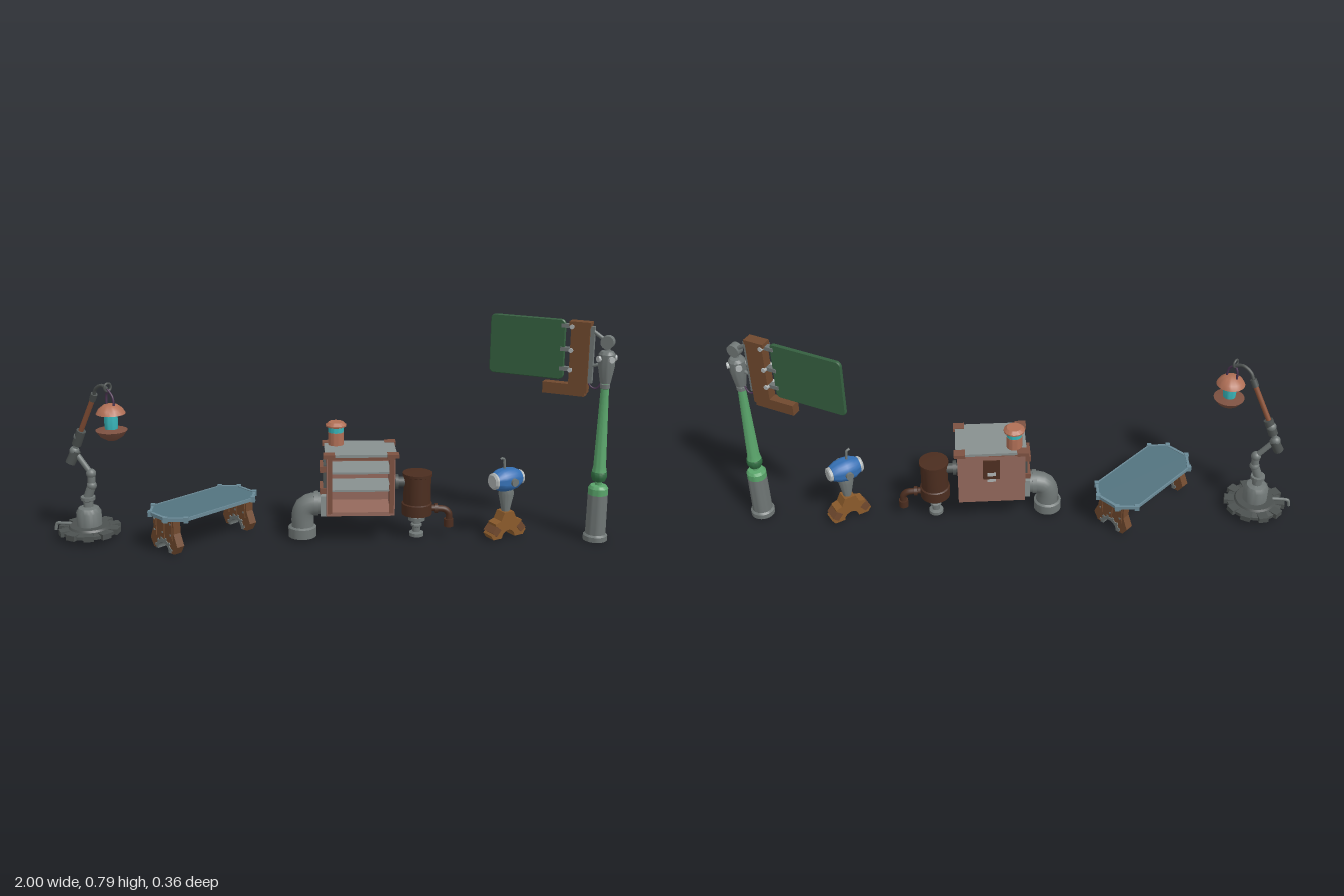
import * as THREE from 'three';
import { toCreasedNormals } from 'three/addons/utils/BufferGeometryUtils.js';

const C = {
  grey: 0x6f7675, dark: 0x4c5150, wood: 0x70492e, orange: 0x8a5a2b, arm: 0x8a5238, copper: 0xb06f56, rust: 0x7d5141,
  pink: 0x94695c, plate: 0x88908f, cyan: 0x38b4b8, teal: 0x53737f, rim: 0x6a8a97, barrel: 0x4b2d1f,
  blue: 0x3570b4, pole: 0x5aa56b, bulb: 0x2f6b40, board: 0x356040, cord: 0x4a3350, light: 0xb0b5b5,
};
const mats = {};
const mat = (c) => (mats[c] ??= new THREE.MeshStandardMaterial({ color: c, side: THREE.DoubleSide }));
const V = (p) => new THREE.Vector3(...p);

function add(parent, name, geo, color, x = 0, y = 0, z = 0) {
  const m = new THREE.Mesh(geo, mat(color));
  m.name = name;
  m.position.set(x, y, z);
  parent.add(m);
  return m;
}
function group(parent, name, x = 0, z = 0, turn = 0) {
  const g = new THREE.Group();
  g.name = name;
  g.position.set(x, 0, z);
  g.rotation.y = turn;
  parent.add(g);
  return g;
}
const box = (g, n, c, w, h, d, x, y, z) => add(g, n, new THREE.BoxGeometry(w, h, d), c, x, y, z);
// Turned part: list of [radius, height], bottom to top
const turned = (g, n, c, pts, x = 0, z = 0) => add(g, n,
  toCreasedNormals(new THREE.LatheGeometry(pts.map((p) => new THREE.Vector2(...p)), 28), 0.6), c, x, 0, z);
// Straight round bar between two points
function rod(g, n, c, a, b, r0, r1 = r0) {
  const p = V(a), q = V(b), d = q.clone().sub(p);
  const m = add(g, n, new THREE.CylinderGeometry(r1, r0, d.length(), 20), c);
  m.position.copy(p.add(q).multiplyScalar(0.5));
  m.quaternion.setFromUnitVectors(new THREE.Vector3(0, 1, 0), d.normalize());
  return m;
}
const tube = (g, n, c, pts, r) => add(g, n,
  new THREE.TubeGeometry(new THREE.CatmullRomCurve3(pts.map(V)), 32, r, 12), c);
function extrude(shape, depth, bevel = 0) {
  return new THREE.ExtrudeGeometry(shape, { depth, curveSegments: 12, bevelEnabled: bevel > 0,
    bevelSize: bevel, bevelThickness: bevel, bevelSegments: 1, bevelOffset: -bevel }).translate(0, 0, -depth / 2);
}
// Symmetric plate with splayed feet and a round arch between them
function footPlate(half, r) {
  const s = new THREE.Shape();
  half.forEach(([x, y], i) => (i ? s.lineTo(x, y) : s.moveTo(x, y)));
  const y0 = half.at(-1)[1];
  s.lineTo(r, y0);
  s.absarc(0, y0, r, 0, Math.PI, false);
  [...half].reverse().forEach(([x, y]) => s.lineTo(-x, y));
  return s;
}

// Lantern on a jointed arm
function lamp(root) {
  const g = group(root, 'lamp');
  const bx = -0.865, bz = -0.04;
  turned(g, 'lampBase', C.dark, [[0, 0.02], [0.1, 0.02], [0.1, 0.032], [0.075, 0.038], [0.07, 0.045], [0, 0.047]], bx, bz);
  for (let i = 0; i < 10; i++) {
    const a = i * Math.PI / 5 + 0.2;
    const t = box(g, 'baseTab', C.dark, 0.035, 0.02, 0.036, bx + 0.093 * Math.cos(a), 0.028, bz + 0.093 * Math.sin(a));
    t.rotation.y = -a;
  }
  tube(g, 'crank', C.grey, [[-0.93, 0.045, -0.05], [-0.965, 0.045, -0.055], [-0.985, 0.043, -0.06], [-0.99, 0.03, -0.06], [-0.992, 0.018, -0.06]], 0.006);
  turned(g, 'pedestal', C.grey, [[0.045, 0.04], [0.045, 0.095], [0.036, 0.11], [0.018, 0.115], [0.018, 0.135], [0.026, 0.14], [0.026, 0.152], [0, 0.155]], bx, bz);
  // Jointed arm
  const path = [[-0.865, 0.15, -0.04], [-0.848, 0.195, -0.035], [-0.848, 0.24, -0.035], [-0.905, 0.32, -0.05], [-0.885, 0.375, -0.04], [-0.815, 0.535, 0.012]];
  [0.016, 0.014, 0.01, 0.01, 0.009].forEach((r, i) => rod(g, 'armSegment', i < 4 ? C.grey : C.arm, path[i], path[i + 1], r));
  path.slice(1, 5).forEach((p) => add(g, 'armJoint', new THREE.SphereGeometry(0.018, 16, 12), C.grey, ...p));
  rod(g, 'counterweight', C.dark, [-0.922, 0.275, -0.05], [-0.9, 0.32, -0.05], 0.018);
  rod(g, 'armSleeve', C.dark, [-0.895, 0.345, -0.045], [-0.873, 0.4, -0.032], 0.017);
  rod(g, 'armTip', C.dark, [-0.822, 0.52, 0.005], [-0.812, 0.545, 0.015], 0.012);
  // Hanging cord and ring
  tube(g, 'hook', C.dark, [[-0.815, 0.535, 0.012], [-0.805, 0.565, 0.025], [-0.78, 0.582, 0.045], [-0.757, 0.572, 0.063]], 0.006);
  add(g, 'ring', new THREE.TorusGeometry(0.014, 0.004, 10, 20), C.dark, -0.757, 0.58, 0.065).rotation.y = 0.8;
  for (const s of [-1, 1])
    tube(g, 'cord', C.cord, [[-0.757, 0.572, 0.065], [-0.752 + s * 0.012, 0.55, 0.068 + s * 0.012], [-0.75 + s * 0.015, 0.515, 0.07 + s * 0.015]], 0.004);
  // Lantern
  turned(g, 'lanternBowl', C.rust, [[0, 0.394], [0.018, 0.396], [0.04, 0.41], [0.055, 0.431], [0.022, 0.436]], -0.75, 0.07);
  turned(g, 'lanternGlass', C.cyan, [[0.022, 0.434], [0.024, 0.46], [0.022, 0.49]], -0.75, 0.07);
  turned(g, 'lanternHood', C.copper, [[0.022, 0.486], [0.051, 0.49], [0.042, 0.506], [0.024, 0.52], [0, 0.524]], -0.75, 0.07);
}

// Long table with clipped corners
function table(root) {
  const g = group(root, 'table', -0.449, 0, 0.75);
  const L = 0.205, W = 0.097, c = 0.05;
  const outline = (k) => new THREE.Shape([[-L + c, -W], [L - c, -W], [L, -W + c], [L, W - c], [L - c, W], [-L + c, W], [-L, W - c], [-L, -W + c]]
    .map(([x, y]) => new THREE.Vector2(x * k, y * k)));
  const rim = outline(1);
  rim.holes.push(outline(0.95));
  add(g, 'tableRim', extrude(rim, 0.012), C.rim, 0, 0.137, 0).rotation.x = -Math.PI / 2;
  add(g, 'tableTop', extrude(outline(0.96), 0.007), C.teal, 0, 0.137, 0).rotation.x = -Math.PI / 2;
  for (const sx of [-1, 1]) {
    for (const sz of [-1, 1]) {
      for (const [x, z] of [[L, W - c], [L - c, W]])
        box(g, 'cornerClamp', C.rim, 0.016, 0.02, 0.016, sx * (x - 0.003), 0.137, sz * (z - 0.003)).rotation.y = 0.78;
    }
    const leg = group(g, 'tableLeg', sx * 0.165, 0, sx * Math.PI / 2);
    add(leg, 'legPlate', extrude(footPlate([[0.058, 0.131], [0.058, 0.08], [0.077, 0.036], [0.058, 0.006]], 0.036), 0.03), C.wood);
    // Half gear under the arch
    const arch = new THREE.Shape();
    arch.absarc(0, 0, 0.042, 0, Math.PI, false);
    arch.absarc(0, 0, 0.03, Math.PI, 0, true);
    add(leg, 'archGear', extrude(arch, 0.036), C.grey, 0, 0.007, 0);
    for (let i = 0; i < 6; i++) {
      const a = (i + 0.5) * Math.PI / 6;
      box(leg, 'gearTooth', C.grey, 0.01, 0.009, 0.036, 0.044 * Math.cos(a), 0.007 + 0.044 * Math.sin(a), 0).rotation.z = a;
    }
    for (const x of [-0.045, 0, 0.045]) {
      box(leg, 'legStrip', C.wood, 0.014, 0.075, 0.038, x, 0.092, 0);
      for (const y of [0.075, 0.115]) box(leg, 'legBolt', C.grey, 0.006, 0.006, 0.043, x, y, 0);
    }
  }
}

// Open stove with shelves, chimney, elbow pipe and boiler
function stove(root) {
  const g = group(root, 'stove');
  const cx = 0.11;
  box(g, 'backWall', C.pink, 0.24, 0.218, 0.012, cx, 0.221, -0.068);
  box(g, 'floor', C.pink, 0.24, 0.014, 0.148, cx, 0.115, 0);
  for (const s of [-1, 1]) box(g, 'sideWall', C.pink, 0.014, 0.218, 0.148, cx + s * 0.113, 0.221, 0);
  box(g, 'lintel', C.rust, 0.24, 0.016, 0.148, cx, 0.322, 0);
  for (const y of [0.2, 0.265]) box(g, 'shelf', C.plate, 0.214, 0.007, 0.132, cx, y, 0.003);
  for (const s of [-1, 1]) box(g, 'frontPost', C.rust, 0.016, 0.21, 0.012, cx + s * 0.108, 0.222, 0.071);
  box(g, 'topPlate', C.plate, 0.25, 0.01, 0.176, cx, 0.333, 0);
  for (const sx of [-1, 1]) for (const sz of [-1, 1])
    box(g, 'cornerBracket', C.rust, 0.04, 0.014, 0.034, cx + sx * 0.111, 0.333, sz * 0.078);
  // Chimney
  turned(g, 'chimney', C.copper, [[0.028, 0.335], [0.028, 0.384], [0, 0.385]], 0.027, -0.047);
  turned(g, 'chimneyGlass', C.cyan, [[0.027, 0.384], [0.027, 0.406]], 0.027, -0.047);
  turned(g, 'chimneyCap', C.copper, [[0.027, 0.402], [0.037, 0.406], [0.037, 0.411], [0.026, 0.421], [0, 0.421]], 0.027, -0.047);
  // Hatches on the left and back walls
  box(g, 'sideHatch', C.dark, 0.012, 0.1, 0.07, -0.014, 0.235, 0);
  for (const y of [0.19, 0.27]) box(g, 'hatchBand', C.rust, 0.024, 0.022, 0.08, -0.02, y, 0);
  box(g, 'backHatch', C.barrel, 0.06, 0.075, 0.012, cx, 0.26, -0.078).rotation.x = 0.12;
  box(g, 'backLatch', C.light, 0.03, 0.04, 0.012, cx, 0.23, -0.081);
  // Elbow pipe
  const bend = new THREE.CatmullRomCurve3([[-0.095, 0.04, 0], [-0.095, 0.09, 0], [-0.085, 0.118, 0], [-0.06, 0.13, 0], [-0.01, 0.132, 0]].map(V));
  add(g, 'elbowPipe', new THREE.TubeGeometry(bend, 10, 0.04, 24), C.grey);
  turned(g, 'pipeFoot', C.grey, [[0, 0.01], [0.05, 0.01], [0.05, 0.045], [0.042, 0.05]], -0.097, 0);
  rod(g, 'pipeFlange', C.grey, [-0.055, 0.132, 0], [-0.04, 0.132, 0], 0.044);
  box(g, 'pipeMount', C.plate, 0.03, 0.075, 0.09, -0.014, 0.135, 0);
  // Boiler
  turned(g, 'boiler', C.barrel, [[0, 0.088], [0.054, 0.09], [0.054, 0.13], [0.049, 0.133], [0.049, 0.232], [0.053, 0.234], [0.053, 0.244], [0, 0.247]], 0.315, 0);
  rod(g, 'boilerLink', C.dark, [0.22, 0.21, 0], [0.275, 0.21, 0], 0.018);
  rod(g, 'linkCollar', C.dark, [0.235, 0.21, 0], [0.247, 0.21, 0], 0.027);
  turned(g, 'boilerStand', C.grey, [[0, 0.006], [0.026, 0.006], [0.026, 0.018], [0.014, 0.022], [0.014, 0.04], [0.02, 0.043],
    [0.02, 0.05], [0.014, 0.053], [0.014, 0.06], [0.03, 0.066], [0.03, 0.08], [0.02, 0.09]], 0.315, 0);
  tube(g, 'spout', C.barrel, [[0.35, 0.11, 0], [0.39, 0.108, 0], [0.418, 0.104, 0], [0.432, 0.09, 0], [0.433, 0.055, 0]], 0.012);
  rod(g, 'spoutCollar', C.barrel, [0.38, 0.108, 0], [0.392, 0.108, 0], 0.018);
  rod(g, 'spoutMouth', C.barrel, [0.433, 0.04, 0], [0.433, 0.068, 0], 0.017);
}

// Blue blower on a clawed stand
function blower(root) {
  const g = group(root, 'blower', 0.636, 0.006, 0.49);
  add(g, 'standPlate', extrude(footPlate([[0.02, 0.1], [0.034, 0.07], [0.058, 0.062], [0.056, 0.044], [0.078, 0.022], [0.066, 0.004], [0.044, 0.004]], 0.028), 0.046), C.orange);
  for (const s of [-1, 1]) box(g, 'standClaw', C.wood, 0.026, 0.03, 0.054, s * 0.055, 0.035, 0).rotation.z = s * 0.7;
  turned(g, 'stem', C.grey, [[0.016, 0.06], [0.015, 0.1], [0.028, 0.165], [0.024, 0.185], [0, 0.19]]);
  const body = group(g, 'blowerBody');
  body.position.y = 0.218;
  body.rotation.z = -Math.PI / 2;
  turned(body, 'shell', C.blue, [[0, -0.055], [0.03, -0.053], [0.041, -0.03], [0.044, 0], [0.039, 0.03], [0.028, 0.052], [0, 0.055]]);
  turned(body, 'rearCap', C.light, [[0, -0.066], [0.024, -0.066], [0.03, -0.06], [0.03, -0.048]]);
  turned(body, 'frontCap', C.light, [[0.026, 0.045], [0.026, 0.062], [0.021, 0.066], [0, 0.066]]);
  for (const s of [-1, 1]) rod(g, 'sideKnob', C.grey, [0, 0.218, s * 0.035], [0, 0.218, s * 0.052], 0.014);
  tube(g, 'handle', C.grey, [[-0.012, 0.255, 0], [-0.014, 0.28, 0], [-0.016, 0.295, 0], [-0.028, 0.3, 0]], 0.0045);
}

// Street post carrying a hinged board
function signPost(root) {
  const g = group(root, 'signPost', 0.957, 0.042, -0.488);
  turned(g, 'postBase', C.grey, [[0, 0], [0.043, 0], [0.043, 0.018], [0.036, 0.024], [0.035, 0.172], [0, 0.172]]);
  turned(g, 'postCollar', C.pole, [[0.035, 0.17], [0.035, 0.195], [0.028, 0.205], [0.012, 0.207], [0.012, 0.222]]);
  turned(g, 'postBulb', C.bulb, [[0.012, 0.218], [0.022, 0.222], [0.028, 0.236], [0.028, 0.25], [0.023, 0.258]]);
  turned(g, 'post', C.pole, [[0.026, 0.256], [0.022, 0.275], [0.014, 0.56], [0.014, 0.578]]);
  turned(g, 'postRing', C.grey, [[0.014, 0.558], [0.017, 0.56], [0.017, 0.574], [0.014, 0.576]]);
  turned(g, 'postHead', C.grey, [[0, 0.578], [0.018, 0.578], [0.022, 0.6], [0.029, 0.64], [0.029, 0.68], [0.022, 0.69], [0.01, 0.694], [0.01, 0.715]]);
  for (let i = 0; i < 4; i++) {
    const a = (i + 0.5) * Math.PI / 2, c = Math.cos(a), s = Math.sin(a);
    rod(g, 'headBolt', C.light, [c * 0.02, 0.665, s * 0.02], [c * 0.036, 0.665, s * 0.036], 0.011);
  }
  rod(g, 'pivotDisc', C.grey, [0, 0.722, -0.014], [0, 0.722, 0.014], 0.023);
  // Bracket arms and cable
  rod(g, 'upperArm', C.grey, [0, 0.722, 0], [-0.065, 0.765, 0], 0.007);
  rod(g, 'lowerArm', C.grey, [-0.01, 0.645, 0], [-0.065, 0.63, 0], 0.006);
  box(g, 'rail', C.grey, 0.014, 0.2, 0.018, -0.053, 0.672, 0);
  tube(g, 'cable', C.cord, [[-0.01, 0.585, 0], [-0.03, 0.555, 0], [-0.05, 0.56, 0], [-0.07, 0.6, 0]], 0.003);
  // Timber frame
  box(g, 'timberUpright', C.wood, 0.066, 0.25, 0.034, -0.093, 0.661, 0);
  box(g, 'timberFoot', C.wood, 0.15, 0.04, 0.034, -0.142, 0.544, 0);
  box(g, 'timberCap', C.wood, 0.075, 0.016, 0.038, -0.095, 0.779, 0);
  // Board with rounded corners
  const w = 0.136, h = 0.107, r = 0.018, s = new THREE.Shape();
  s.absarc(w - r, h - r, r, 0, Math.PI / 2);
  s.absarc(r - w, h - r, r, Math.PI / 2, Math.PI);
  s.absarc(r - w, r - h, r, Math.PI, Math.PI * 1.5);
  s.absarc(w - r, r - h, r, Math.PI * 1.5, Math.PI * 2);
  add(g, 'board', extrude(s, 0.007, 0.003), C.board, -0.284, 0.682, 0);
  for (const y of [0.615, 0.685, 0.768]) {
    box(g, 'hinge', C.grey, 0.045, 0.014, 0.02, -0.14, y, 0);
    rod(g, 'hingePin', C.light, [-0.122, y, -0.023], [-0.122, y, 0.023], 0.008);
  }
}

export function createModel() {
  const root = new THREE.Group();
  root.name = 'streetFurniture';
  [lamp, table, stove, blower, signPost].forEach((build) => build(root));
  return root;
}
